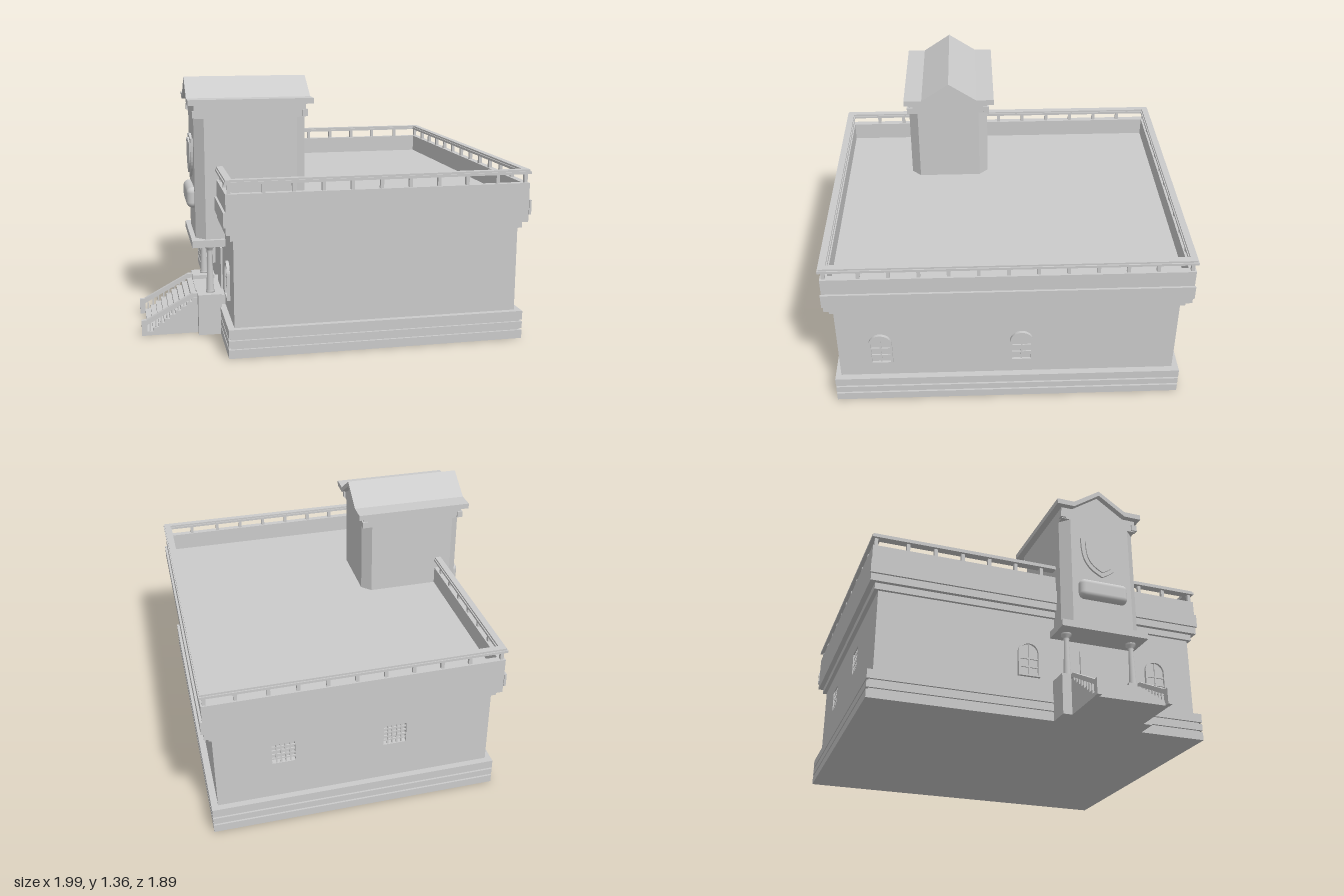
import * as THREE from 'three';
import { RoundedBoxGeometry } from 'three/addons/geometries/RoundedBoxGeometry.js';

const mat = new THREE.MeshStandardMaterial({ color: 0xcccccc, flatShading: true });
const smooth = new THREE.MeshStandardMaterial({ color: 0xcccccc });
const TZ = 0.305; // centre line of tower, porch and stairs

export function createModel() {
  const root = new THREE.Group();

  function add(name, geo, parent = root, material = mat) {
    const m = new THREE.Mesh(geo, material);
    m.name = name;
    parent.add(m);
    return m;
  }
  // box given by its extents
  function box(name, x0, x1, y0, y1, z0, z1, parent = root) {
    const m = add(name, new THREE.BoxGeometry(x1 - x0, y1 - y0, z1 - z0), parent);
    m.position.set((x0 + x1) / 2, (y0 + y1) / 2, (z0 + z1) / 2);
    return m;
  }
  function group(name, parent = root) {
    const g = new THREE.Group();
    g.name = name;
    parent.add(g);
    return g;
  }
  const poly = (pts) => new THREE.Shape(pts.map((p) => new THREE.Vector2(p[0], p[1])));
  const extrude = (shape, depth) =>
    new THREE.ExtrudeGeometry(shape, { depth, bevelEnabled: false, curveSegments: 10 });

  // ---- plinth of three courses with grooves
  const plinth = group('plinth');
  [[0, 0.045, 0], [0.045, 0.055, 0.012], [0.055, 0.092, 0], [0.092, 0.102, 0.012], [0.102, 0.15, 0]].forEach(
    ([a, b, i]) => box('plinthCourse', -0.582 + i, 0.975 - i, a, b, -0.925 + i, 0.93 - i, plinth));

  // ---- walls; the back wall is a panel with window openings
  box('walls', -0.55, 0.94, 0.15, 0.6, -0.86, 0.9);
  const backX = [-0.02, 0.58], wy = 0.43, h = 0.062;
  const panel = poly([[-0.55, 0.15], [0.94, 0.15], [0.94, 0.6], [-0.55, 0.6]]);
  for (const x of backX) {
    panel.holes.push(new THREE.Path([[-h, -h], [-h, h], [h, h], [h, -h]].map(
      (p) => new THREE.Vector2(x + p[0], wy + p[1]))));
  }
  add('backWall', extrude(panel, 0.03)).position.z = -0.89;
  for (const x of backX) {
    const g = group('barredWindow');
    for (const t of [-0.037, -0.0125, 0.0125, 0.037]) {
      box('uprightBar', x + t - 0.004, x + t + 0.004, wy - h, wy + h, -0.885, -0.877, g);
      box('crossBar', x - h, x + h, wy + t - 0.004, wy + t + 0.004, -0.884, -0.876, g);
    }
  }

  // ---- cornice, side bands, deck and parapet
  box('lowerCornice', -0.567, 0.957, 0.6, 0.635, -0.912, 0.918);
  box('frieze', -0.59, 0.98, 0.635, 0.74, -0.94, 0.94);
  box('leftBand', 0.98, 0.992, 0.675, 0.75, -0.945, 0.945);
  box('rightBand', -0.602, -0.59, 0.675, 0.75, -0.945, 0.945);
  const rect = (a, b, c, d) => [[a, c], [b, c], [b, d], [a, d]];
  // rectangular ring lying flat, z runs from -b to -a after rotation
  function ring(name, y0, y1, out, wid) {
    const s = poly(rect(-0.59 - out, 0.98 + out, -0.94 - out, 0.94 + out));
    const i = wid - out;
    s.holes.push(new THREE.Path(rect(-0.59 + i, 0.98 - i, -0.94 + i, 0.94 - i).reverse()
      .map((p) => new THREE.Vector2(p[0], p[1]))));
    const m = add(name, extrude(s, y1 - y0));
    m.rotation.x = -Math.PI / 2;
    m.position.y = y0;
  }
  ring('parapet', 0.74, 0.84, 0, 0.035);
  ring('handrail', 0.887, 0.9, 0.006, 0.046);
  ring('handrailTop', 0.9, 0.91, 0, 0.034);

  const balusters = group('balusters');
  const post = (x, z) => box('baluster', x - 0.009, x + 0.009, 0.84, 0.887, z - 0.009, z + 0.009, balusters);
  for (const x of [-0.572, -0.4, -0.25, -0.1, 0.047, 0.197, 0.347, 0.497, 0.647, 0.81, 0.962]) {
    post(x, 0.922);
    post(x, -0.922);
  }
  for (let i = 0; i < 11; i++) {
    const z = 0.75 - i * 0.15;
    post(-0.572, z);
    post(0.962, z);
  }

  // ---- arched windows on both long walls
  function arch(hw, y0, y1) {
    const s = new THREE.Shape();
    s.moveTo(-hw, y0);
    s.lineTo(hw, y0);
    s.lineTo(hw, y1);
    s.absarc(0, y1, hw, 0, Math.PI, false);
    s.closePath();
    return s;
  }
  function archedWindow(x, z, turn) {
    const g = group('archedWindow');
    const frame = arch(0.061, 0.24, 0.375);
    frame.holes.push(arch(0.05, 0.25, 0.375));
    add('windowFrame', extrude(frame, 0.016), g);
    add('windowPane', extrude(arch(0.05, 0.25, 0.375), 0.003), g);
    box('mullion', -0.004, 0.004, 0.25, 0.424, 0, 0.01, g);
    for (const y of [0.295, 0.342]) box('glazingBar', -0.05, 0.05, y - 0.004, y + 0.004, 0, 0.01, g);
    g.position.set(x, 0, z);
    g.rotation.y = turn;
  }
  for (const z of [0.675, -0.07]) {
    archedWindow(0.94, z, Math.PI / 2);
    archedWindow(-0.55, z, -Math.PI / 2);
  }

  // ---- tower with chamfered corners
  const tower = group('tower');
  const a = 0.295, b = 0.225, c = 0.05;
  const shaft = add('towerShaft', extrude(poly([[-a + c, -b], [a - c, -b], [a, -b + c], [a, b - c],
    [a - c, b], [-a + c, b], [-a, b - c], [-a, -b + c]]), 0.64), tower);
  shaft.rotation.x = -Math.PI / 2;
  shaft.position.set(-0.405, 0.52, TZ);
  box('towerHead', -0.7, -0.11, 1.16, 1.235, TZ - b, TZ + b, tower);
  for (const sx of [-1, 1]) for (const sz of [-1, 1]) {
    const x = -0.405 + sx * 0.288, z = TZ + sz * 0.218;
    box('cornerBracket', x - 0.016, x + 0.016, 1.165, 1.2, z - 0.016, z + 0.016, tower);
  }
  // roof: flat eaves with a raised gable, extruded along x
  const roofShape = poly([[-0.255, 1.23], [-0.155, 1.23], [0, 1.335], [0.155, 1.23], [0.255, 1.23],
    [0.255, 1.26], [0.155, 1.26], [0, 1.363], [-0.155, 1.26], [-0.255, 1.26]]);
  const roof = add('gableRoof', extrude(roofShape, 0.66), tower);
  roof.rotation.y = -Math.PI / 2;
  roof.position.set(-0.073, 0, TZ - 0.007);
  const gable = add('gableInfill', extrude(poly([[-0.16, 1.23], [0.16, 1.23], [0, 1.337]]), 0.59), tower);
  gable.rotation.y = -Math.PI / 2;
  gable.position.set(-0.11, 0, TZ - 0.007);

  // plain shield and plaque on the tower face
  function shield(name, s, depth) {
    const p = new THREE.Shape();
    p.moveTo(-0.12 * s, 0.1 * s);
    p.quadraticCurveTo(-0.06 * s, 0.08 * s, 0, 0.115 * s);
    p.quadraticCurveTo(0.06 * s, 0.08 * s, 0.12 * s, 0.1 * s);
    p.bezierCurveTo(0.12 * s, -0.04 * s, 0.09 * s, -0.08 * s, 0, -0.125 * s);
    p.bezierCurveTo(-0.09 * s, -0.08 * s, -0.12 * s, -0.04 * s, -0.12 * s, 0.1 * s);
    const m = add(name, extrude(p, depth), tower);
    m.rotation.y = -Math.PI / 2;
    m.position.set(-0.7, 0.945, TZ);
  }
  shield('shield', 1, 0.012);
  shield('shieldCentre', 0.8, 0.02);
  add('plaque', new RoundedBoxGeometry(0.08, 0.112, 0.28, 4, 0.03), tower, smooth)
    .position.set(-0.7, 0.728, TZ);

  // ---- porch
  const porch = group('porch');
  box('porchCanopy', -0.725, -0.54, 0.482, 0.52, TZ - 0.25, TZ + 0.25, porch);
  box('porchFloor', -0.7, -0.55, 0, 0.2, TZ - 0.2, TZ + 0.2, porch);
  box('door', -0.56, -0.548, 0.2, 0.43, TZ - 0.08, TZ + 0.08, porch);
  const profile = [[0, 0.22], [0.024, 0.22], [0.024, 0.23], [0.02, 0.235], [0.013, 0.445], [0.017, 0.45],
    [0.014, 0.458], [0.028, 0.47], [0.028, 0.483]].map((p) => new THREE.Vector2(p[0], p[1]));
  for (const s of [-1, 1]) {
    const z = TZ + s * 0.19;
    box('pedestal', -0.7, -0.575, 0, 0.222, z - 0.06, z + 0.06, porch);
    const col = add('column', new THREE.LatheGeometry(profile, 20), porch, smooth);
    col.position.set(-0.63, 0, z);
  }

  // ---- stairs with open sloping balustrades
  const stairs = group('stairs');
  const n = 9, run = 0.03, rise = 0.0215;
  for (let i = 0; i < n; i++) {
    const x = -0.97 + i * run;
    box('step', x, x + run + (i === n - 1 ? 0.01 : 0), 0, rise * (i + 1), TZ - 0.2, TZ + 0.2, stairs);
  }
  const railShape = poly([[-1, 0.06], [-0.97, 0.06], [-0.72, 0.197], [-0.69, 0.197], [-0.69, 0.22],
    [-0.725, 0.22], [-0.975, 0.085], [-1, 0.085]]);
  for (const s of [-1, 1]) {
    const z = TZ + s * 0.19;
    add('stairRail', extrude(railShape, 0.024), stairs).position.z = z - 0.012;
    box('newelPost', -1, -0.97, 0, 0.07, z - 0.012, z + 0.012, stairs);
    for (let i = 0; i < n; i++) {
      const x = -0.955 + i * run;
      box('stairBaluster', x - 0.004, x + 0.004, rise * i, 0.075 + i * run * 0.54, z - 0.005, z + 0.005, stairs);
    }
  }
  return root;
}
